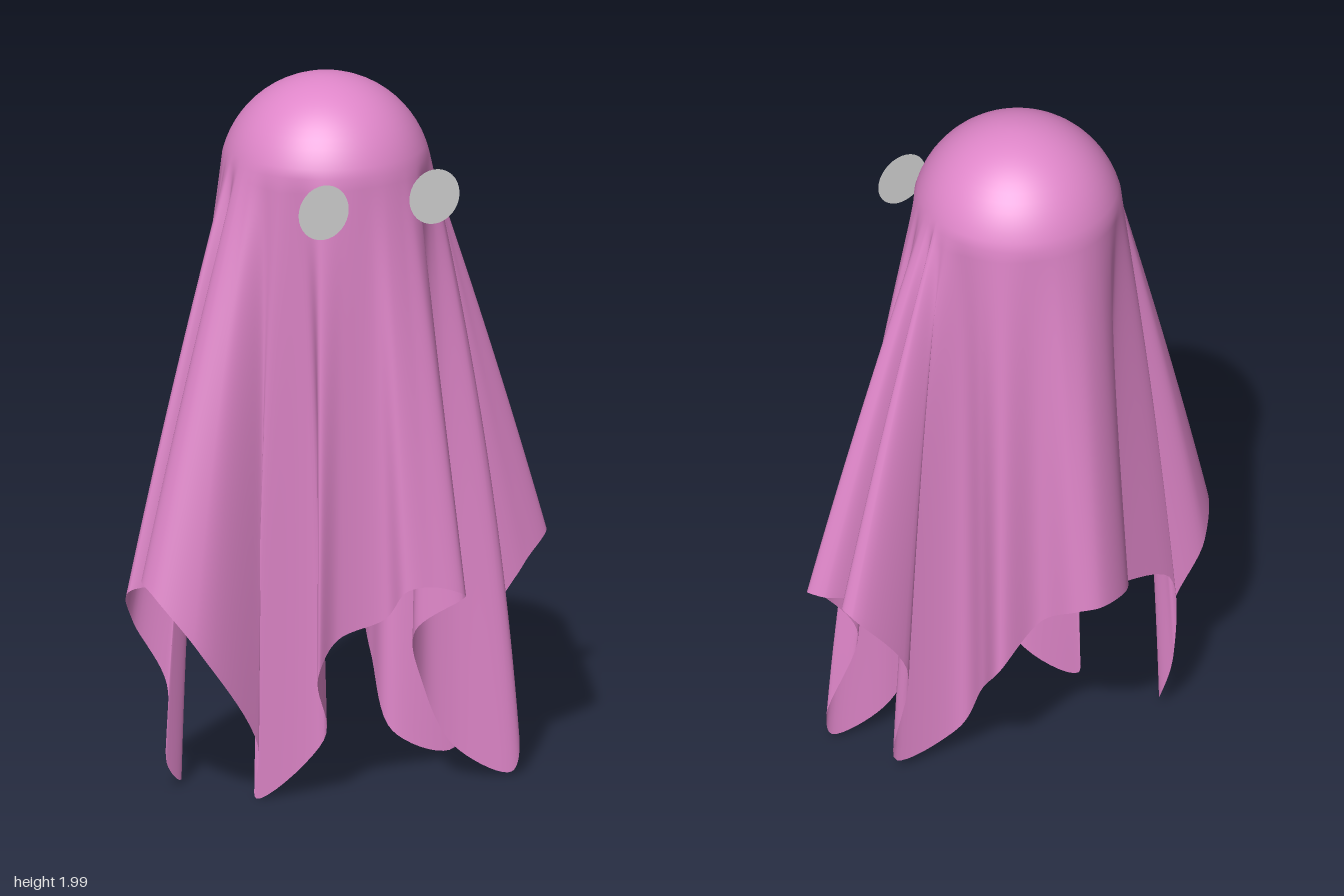
import * as THREE from 'three';

// Hem of the draped sheet as x, y, z: front, then +x side, back, -x side
const HEM = [
  [0.03, 0.62, 0.37], [0.1, 0.63, 0.39], [0.19, 0.6, 0.4], [0.21, 0.57, 0.35],
  [0.12, 0.47, 0.25], [0.18, 0.3, 0.17], [0.28, 0.1, 0.17], [0.43, 0.02, 0.22],
  [0.46, 0.1, 0.21], [0.41, 0.4, 0.13], [0.52, 0.57, 0.12], [0.61, 0.65, 0.08],
  [0.58, 0.65, 0.03], [0.42, 0.61, 0.0], [0.57, 0.65, -0.03], [0.56, 0.63, -0.07],
  [0.39, 0.4, -0.08], [0.37, 0.04, 0.0], [0.2, 0.1, -0.04], [0.19, 0.3, -0.15],
  [0.2, 0.42, -0.25], [0.08, 0.55, -0.27], [0.03, 0.62, -0.37], [-0.03, 0.63, -0.4],
  [-0.14, 0.62, -0.36], [-0.18, 0.6, -0.29], [-0.13, 0.57, -0.26], [-0.38, 0.48, -0.21],
  [-0.4, 0.2, -0.2], [-0.4, 0.02, -0.13], [-0.46, 0.08, -0.1], [-0.45, 0.3, -0.12],
  [-0.55, 0.49, -0.13], [-0.6, 0.6, -0.05], [-0.42, 0.61, 0.0], [-0.6, 0.65, 0.02],
  [-0.6, 0.62, 0.09], [-0.5, 0.47, 0.16], [-0.29, 0.16, 0.11], [-0.29, 0.01, 0.1],
  [-0.12, 0.17, 0.17], [-0.2, 0.39, 0.29], [-0.13, 0.48, 0.27], [0.0, 0.53, 0.3],
];
const COLS = 396, CAP_ROWS = 14, SKIRT_ROWS = 40;
const HEAD = new THREE.Vector3(-0.025, 1.71, 0), RADIUS = 0.29;
const CAP_END = THREE.MathUtils.degToRad(76);

// Sheet: a round cap over the head, then strands running down to the hem
function makeSheet() {
  const curve = new THREE.CatmullRomCurve3(HEM.map(p => new THREE.Vector3(...p)), true, 'centripetal');
  const hem = Array.from({ length: COLS }, (_, i) => curve.getPoint(i / COLS));

  // Unwrapped hem angles, averaged so that the strands start evenly on the head
  const raw = [];
  hem.forEach((p, i) => {
    let a = Math.atan2(p.x - HEAD.x, p.z - HEAD.z);
    if (i) a += Math.round((raw[i - 1] - a) / (2 * Math.PI)) * 2 * Math.PI;
    raw.push(a);
  });
  const half = 26;
  const angles = raw.map((_, i) => {
    let sum = 0;
    for (let k = -half; k <= half; k++) {
      const j = i + k, turn = Math.floor(j / COLS);
      sum += raw[j - turn * COLS] + turn * 2 * Math.PI;
    }
    return sum / (2 * half + 1);
  });

  const onHead = (angle, polar) => new THREE.Vector3(
    HEAD.x + RADIUS * Math.sin(polar) * Math.sin(angle),
    HEAD.y + RADIUS * Math.cos(polar),
    HEAD.z + RADIUS * Math.sin(polar) * Math.cos(angle));

  const pos = [HEAD.x, HEAD.y + RADIUS, HEAD.z], index = [];
  for (let r = 1; r <= CAP_ROWS; r++)
    for (const a of angles) pos.push(...onHead(a, CAP_END * r / CAP_ROWS).toArray());
  for (let r = 1; r <= SKIRT_ROWS; r++) {
    const u = r / SKIRT_ROWS;
    hem.forEach((end, i) => {
      const start = onHead(angles[i], CAP_END);
      // long corners flare early and then hang straighter
      const k = 0.1 + 0.5 * THREE.MathUtils.clamp((0.6 - end.y) / 0.6, 0, 1);
      const f = u * (1 + k * (1 - u));
      pos.push(
        THREE.MathUtils.lerp(start.x, end.x, f),
        THREE.MathUtils.lerp(start.y, end.y, u),
        THREE.MathUtils.lerp(start.z, end.z, f));
    });
  }
  const rows = CAP_ROWS + SKIRT_ROWS;
  for (let i = 0; i < COLS; i++) {
    const n = (i + 1) % COLS;
    index.push(0, 1 + i, 1 + n);
    for (let r = 0; r < rows - 1; r++) {
      const a = 1 + r * COLS + i, b = 1 + r * COLS + n;
      index.push(a, a + COLS, b, b, a + COLS, b + COLS);
    }
  }
  const geo = new THREE.BufferGeometry();
  geo.setAttribute('position', new THREE.Float32BufferAttribute(pos, 3));
  geo.setIndex(index);
  geo.computeVertexNormals();
  return geo;
}

export function createModel() {
  const group = new THREE.Group();
  group.name = 'ghost';

  const pink = new THREE.MeshStandardMaterial({ color: 0xdf86c9, side: THREE.DoubleSide });
  pink.name = 'pink cloth';
  const grey = new THREE.MeshStandardMaterial({ color: 0xd8d8d8, side: THREE.DoubleSide });
  grey.name = 'pale grey';

  const sheet = new THREE.Mesh(makeSheet(), pink);
  sheet.name = 'sheet';
  group.add(sheet);

  // Flat round eyes floating just in front of the sheet
  const eyeGeo = new THREE.CircleGeometry(0.077, 32);
  for (const [name, x] of [['rightEye', -0.195], ['leftEye', 0.145]]) {
    const eye = new THREE.Mesh(eyeGeo, grey);
    eye.name = name;
    eye.position.set(x, 1.71, 0.312);
    group.add(eye);
  }
  return group;
}
